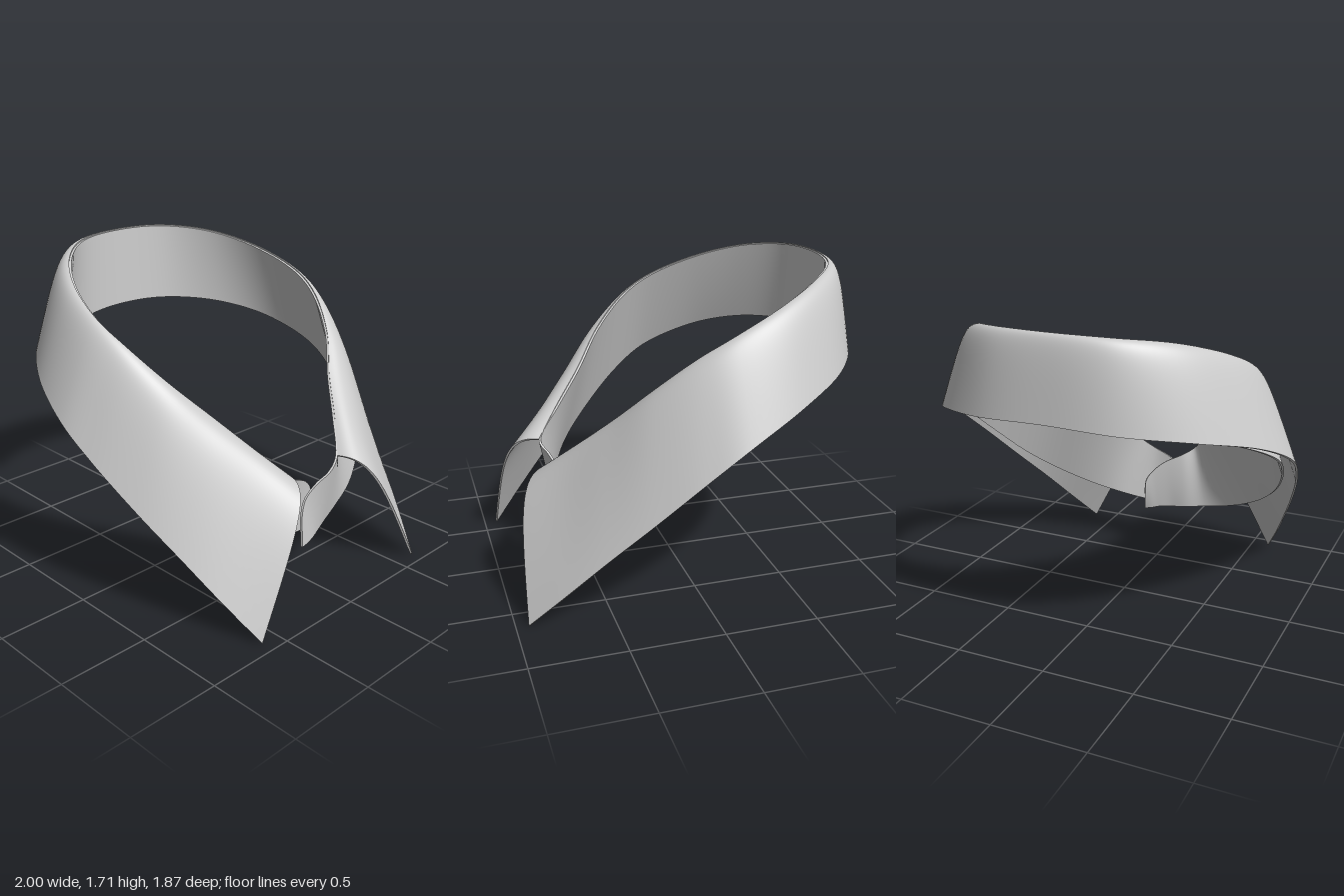
import * as THREE from 'three';

const material = new THREE.MeshStandardMaterial({ color: 0xcccccc, side: THREE.DoubleSide });
// The front sits very slightly towards the left side
const V = ([x, y, z]) => new THREE.Vector3(x + 0.016 * Math.max(0, z), y, z);
const rail = (points) => new THREE.CatmullRomCurve3(points.map(V));
const mirror = ([x, y, z]) => [-x, y, z];
// Half a rail, centre back to front, completed on the other side
const both = (half) => [...half.slice(1).reverse().map(mirror), ...half];

// Thin cloth: a surface at(u, v), its offset underside and a rim joining them
function cloth(name, at, nu, nv, thickness) {
  const w = nv + 1, outer = [], index = [];
  for (let i = 0; i <= nu; i++)
    for (let j = 0; j <= nv; j++) outer.push(at(i / nu, j / nv));
  for (let i = 0; i < nu; i++)
    for (let j = 0; j < nv; j++) {
      const a = i * w + j, b = a + w;
      index.push(a, b, b + 1, a, b + 1, a + 1);
    }
  const make = (points, idx) => {
    const g = new THREE.BufferGeometry().setFromPoints(points);
    g.setIndex(idx);
    g.computeVertexNormals();
    return g;
  };
  const face = make(outer, index);
  const n = face.attributes.normal;
  const inner = outer.map((p, k) =>
    p.clone().addScaledVector(new THREE.Vector3().fromBufferAttribute(n, k), -thickness));
  const back = make(inner, index.slice().reverse());

  // Walk once around the border
  const border = [];
  for (let i = 0; i < nu; i++) border.push(i * w);
  for (let j = 0; j < nv; j++) border.push(nu * w + j);
  for (let i = nu; i > 0; i--) border.push(i * w + nv);
  for (let j = nv; j > 0; j--) border.push(j);
  const rimPoints = [], rimIndex = [];
  border.forEach((k, i) => {
    const a = 2 * i, b = 2 * ((i + 1) % border.length);
    rimPoints.push(outer[k], inner[k]);
    rimIndex.push(a, a + 1, b, b, a + 1, b + 1);
  });

  const group = new THREE.Group();
  group.name = name;
  [['OuterFace', face], ['InnerFace', back], ['Edge', make(rimPoints, rimIndex)]].forEach(([part, g]) => {
    const mesh = new THREE.Mesh(g, material);
    mesh.name = name + part;
    group.add(mesh);
  });
  return group;
}

// Fold line at the top of the collar, centre back to front
const fold = [
  [0, 1.705, -0.85], [0.30, 1.695, -0.795], [0.53, 1.655, -0.61], [0.685, 1.57, -0.36], [0.745, 1.46, -0.10],
  [0.715, 1.36, 0.07], [0.61, 1.19, 0.26], [0.45, 1.00, 0.42], [0.32, 0.84, 0.57], [0.185, 0.685, 0.71],
];
// Shoulder of the leaf, pulling it outward as it turns over the fold
const shoulder = [
  [0, 1.71, -0.895], [0.33, 1.70, -0.85], [0.58, 1.66, -0.66], [0.74, 1.575, -0.385], [0.80, 1.46, -0.10],
  [0.78, 1.36, 0.085], [0.69, 1.195, 0.31], [0.54, 1.01, 0.51], [0.38, 0.845, 0.70], [0.255, 0.70, 0.90],
];
// Lower edge of the leaf, ending in the collar point
const hem = [
  [0, 1.28, -0.935], [0.38, 1.26, -0.895], [0.69, 1.215, -0.71], [0.91, 1.125, -0.41], [0.997, 0.98, -0.11],
  [0.975, 0.82, 0.10], [0.90, 0.60, 0.34], [0.81, 0.39, 0.56], [0.72, 0.19, 0.755], [0.625, 0, 0.935],
];
// Lower edge of the stand
const standHem = [
  [0, 1.26, -0.83], [0.32, 1.245, -0.785], [0.60, 1.20, -0.61], [0.81, 1.11, -0.38], [0.915, 0.97, -0.10],
  [0.90, 0.83, 0.09], [0.805, 0.635, 0.31], [0.655, 0.485, 0.48], [0.47, 0.385, 0.58], [0.28, 0.325, 0.635],
];
// Overlapping front tabs: the left one lies over the right one
const overTop = [[0.10, 0.63, 0.735], [0, 0.59, 0.73], [-0.08, 0.53, 0.725], [-0.117, 0.46, 0.735], [-0.127, 0.38, 0.745]];
const overHem = [[0.15, 0.295, 0.67], [0.06, 0.28, 0.70], [-0.02, 0.275, 0.73], [-0.08, 0.27, 0.745], [-0.13, 0.27, 0.755]];
const underTop = [[-0.10, 0.63, 0.675], [0, 0.58, 0.645], [0.07, 0.52, 0.62], [0.11, 0.46, 0.60], [0.12, 0.39, 0.595]];
const underHem = [[-0.15, 0.30, 0.635], [-0.05, 0.285, 0.64], [0.03, 0.275, 0.63], [0.08, 0.262, 0.62], [0.12, 0.255, 0.615]];

export function createModel() {
  const model = new THREE.Group();
  model.name = 'shirtCollar';

  // Turned-down leaf: a tight bend at the fold, then nearly straight to the hem
  const [foldRail, shoulderRail, hemRail] = [fold, shoulder, hem].map((h) => rail(both(h)));
  model.add(cloth('collarLeaf', (u, v) => {
    const bend = shoulderRail.getPoint(u), end = hemRail.getPoint(u);
    return new THREE.CubicBezierCurve3(
      foldRail.getPoint(u), bend, bend.clone().lerp(end, 0.25), end).getPoint(v);
  }, 140, 24, 0.012));

  // Upright stand inside the leaf, running on into the two front tabs
  const top = rail([...underTop.slice().reverse(), ...both(fold), ...overTop]);
  const bottom = rail([...underHem.slice().reverse(), ...both(standHem), ...overHem]);
  model.add(cloth('collarStand', (u, v) => {
    const p = top.getPoint(u).lerp(bottom.getPoint(u), v);
    p.y -= 0.006 * (1 - v);
    return p;
  }, 200, 12, 0.012));

  return model;
}
